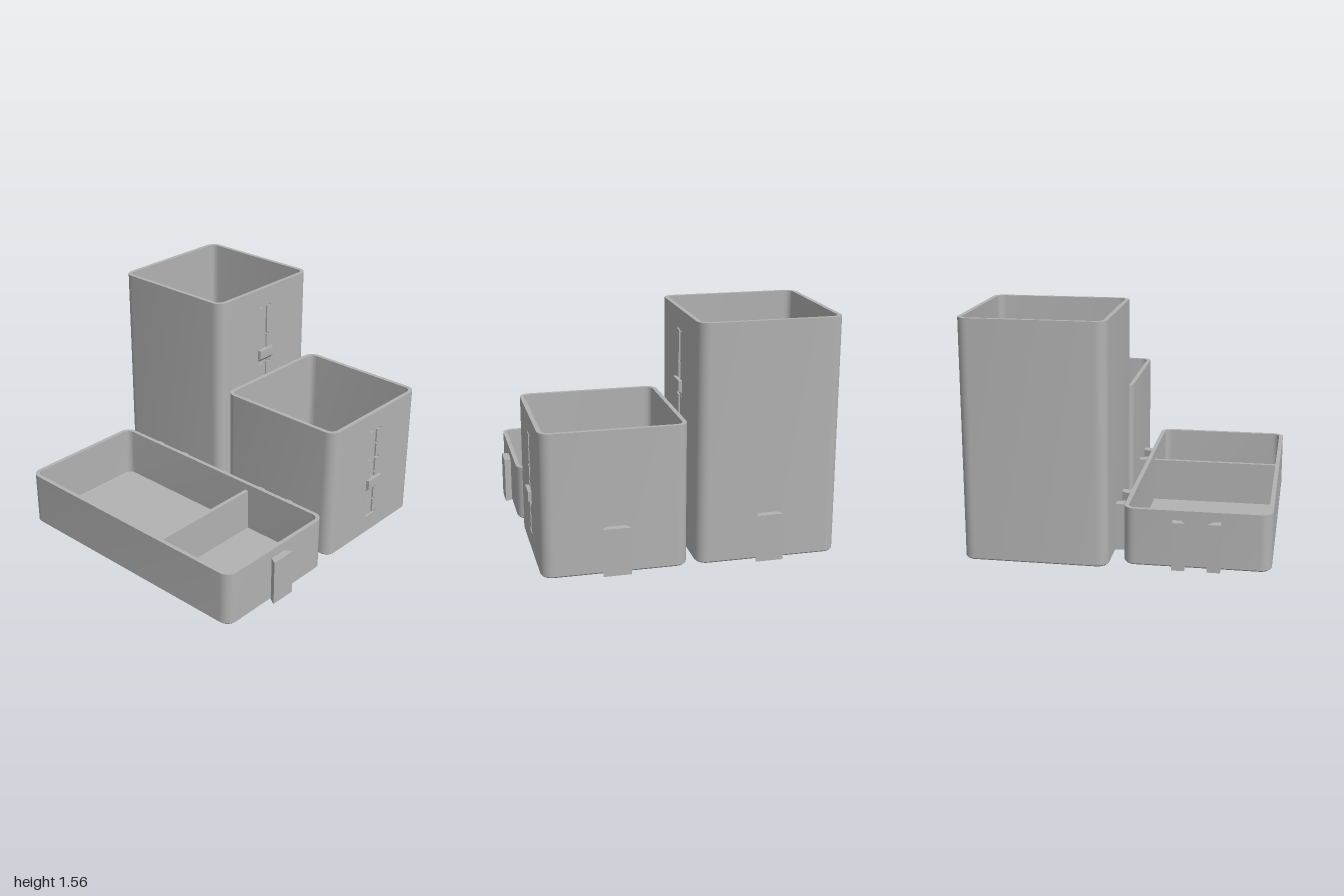
import * as THREE from 'three';
import { toCreasedNormals } from 'three/addons/utils/BufferGeometryUtils.js';

const U = 0.933;        // module size
const WALL = 0.028, RADIUS = 0.075, CHAMFER = 0.01, CLIP_H = 0.313;
const GROOVE = 0.012;   // depth of the scale groove
const STEPS = 8;        // segments per rounded corner

const grey = new THREE.MeshStandardMaterial({ color: 0xb2b2b2 });
grey.name = 'grey plastic';

function add(parent, name, geometry, x = 0, y = 0, z = 0, turn = 0) {
  const mesh = new THREE.Mesh(geometry, grey);
  mesh.name = name;
  mesh.position.set(x, y, z);
  mesh.rotation.y = turn;
  parent.add(mesh);
  return mesh;
}

// Rounded rectangle at height y, running from +x over +z to -x
function loop(w, d, inset, y) {
  const r = RADIUS - inset, pts = [];
  for (let c = 0; c < 4; c++) {
    const sx = c === 0 || c === 3 ? 1 : -1, sz = c < 2 ? 1 : -1;
    for (let i = 0; i <= STEPS; i++) {
      const a = (c + i / STEPS) * Math.PI / 2;
      pts.push([sx * (w / 2 - RADIUS) + r * Math.cos(a), y, sz * (d / 2 - RADIUS) + r * Math.sin(a)]);
    }
  }
  return pts;
}

// Open box: outer wall, rim, inner wall and floor lofted through loops
function shellGeometry(w, d, h, openFront) {
  const loops = [
    loop(w, d, CHAMFER, 0), loop(w, d, 0, CHAMFER), loop(w, d, 0, h),
    loop(w, d, WALL, h), loop(w, d, WALL, WALL),
  ];
  const n = loops[0].length, pos = [];
  const tri = (...p) => p.forEach(q => pos.push(...q));
  for (let i = 0; i < n; i++) {
    const j = (i + 1) % n;
    for (let k = 0; k < loops.length - 1; k++) {
      if (openFront && k === 1 && i === STEPS) continue;   // filled by the grooved panel
      const lo = loops[k], up = loops[k + 1];
      tri(lo[j], lo[i], up[i]);
      tri(lo[j], up[i], up[j]);
    }
    tri([0, 0, 0], loops[0][i], loops[0][j]);
    tri([0, WALL, 0], loops[4][j], loops[4][i]);
  }
  const g = new THREE.BufferGeometry();
  g.setAttribute('position', new THREE.Float32BufferAttribute(pos, 3));
  return toCreasedNormals(g, 0.5);
}

const shape = pts => new THREE.Shape(pts.map(p => new THREE.Vector2(...p)));
const extrude = (s, depth) => new THREE.ExtrudeGeometry(s, { depth, bevelEnabled: false });

// Upright prism; the outline's second coordinate points out of the wall (-z)
const clipGeometry = pts => extrude(shape(pts), CLIP_H).rotateX(-Math.PI / 2);

function addTongue(parent, x, z, turn) {
  add(parent, 'dovetailTongue', clipGeometry([[-0.055, -0.01], [0.055, -0.01], [0.063, 0], [0.091, 0.047], [-0.091, 0.047], [-0.063, 0]]), x, 0, z, turn);
}

function addSocket(parent, x, z, turn) {
  for (const s of [-1, 1]) {
    const pts = [[0.1, -0.01], [0.152, -0.01], [0.152, 0.055], [0.07, 0.055], [0.1, 0]].map(([a, b]) => [a * s, b]);
    add(parent, s < 0 ? 'socketHookA' : 'socketHookB', clipGeometry(pts), x, 0, z, turn);
  }
}

// Groove outline: a narrow slot crossed by alternating long and short ticks
function grooveOutline(top, bottom) {
  const right = [];
  for (let i = 0; i <= 6; i++) {
    const y = top + (bottom - top) * i / 6;
    const half = i % 2 ? 0.037 : 0.058, t = i % 2 ? 0.005 : 0.007;
    if (i > 0) right.push([0.021, y + t]);
    right.push([half, y + t], [half, y - t]);
    if (i < 6) right.push([0.021, y - t]);
  }
  return [...right, ...right.map(([x, y]) => [-x, y]).reverse()];
}

function makeBin(name, h, sliderY) {
  const bin = new THREE.Group();
  bin.name = name;
  add(bin, 'shell', shellGeometry(U, U, h, true));

  // Front panel with the engraved scale
  const f = U / 2 - RADIUS, top = h - 0.135, bottom = 0.14;
  const panel = shape([[-f, CHAMFER], [f, CHAMFER], [f, h], [-f, h]]);
  panel.holes.push(new THREE.Path(shape(grooveOutline(top, bottom)).getPoints()));
  add(bin, 'scalePanel', extrude(panel, GROOVE), 0, 0, U / 2 - GROOVE);
  add(bin, 'grooveFloor', new THREE.PlaneGeometry(0.14, top - bottom + 0.04),
    0, (top + bottom) / 2, U / 2 - GROOVE);

  // Slider with a bevelled lower edge
  const profile = shape([[GROOVE, 0], [0, 0], [-0.023, 0.025], [-0.023, 0.087], [GROOVE, 0.087]]);
  const slider = extrude(profile, 0.139).translate(0, 0, -0.0695).rotateY(Math.PI / 2);
  add(bin, 'slider', slider, 0, sliderY, U / 2);

  addTongue(bin, U / 2, 0, -Math.PI / 2);
  addSocket(bin, -U / 2, 0, Math.PI / 2);
  return bin;
}

function makeTray() {
  const tray = new THREE.Group();
  tray.name = 'dividedTray';
  const d = 2 * U;
  add(tray, 'shell', shellGeometry(U, d, 0.375, false));
  add(tray, 'divider', new THREE.BoxGeometry(U - WALL * 1.5, 0.3, 0.028), 0, 0.175, 0.279);
  addTongue(tray, 0, d / 2, Math.PI);
  addSocket(tray, 0, -d / 2, 0);
  return tray;
}

export function createModel() {
  const model = new THREE.Group();
  model.name = 'deskOrganizer';
  const tall = makeBin('tallBin', 1.56, 1.017);
  tall.position.set(0.4865, 0, -0.528);
  const medium = makeBin('mediumBin', 0.935, 0.347);
  medium.position.set(0.4865, 0, 0.461);
  const tray = makeTray();
  tray.position.set(-0.5335, 0, 0.013);
  model.add(tall, medium, tray);
  return model;
}
